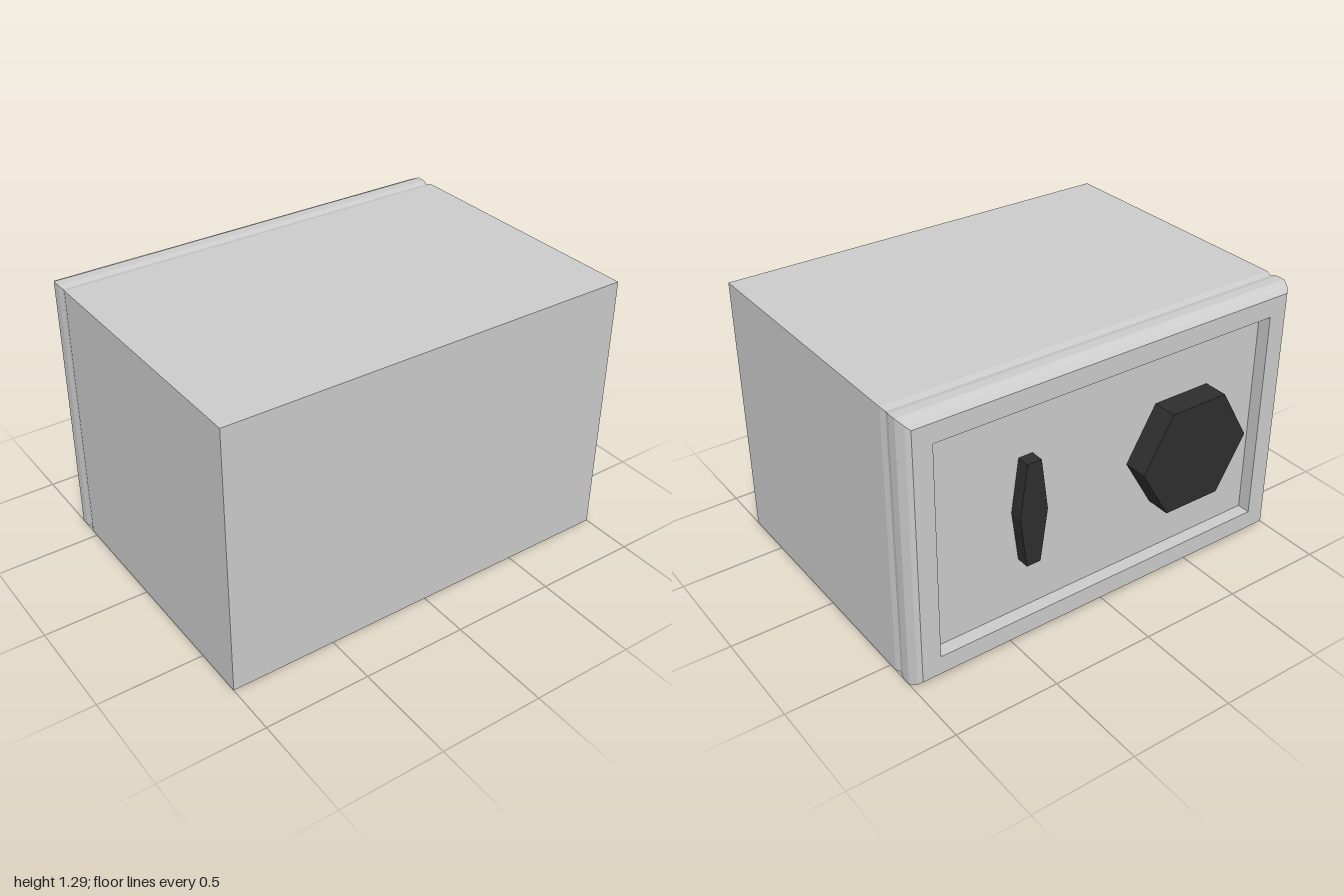
import * as THREE from 'three';

const W = 2, H = 1.295;
const grey = new THREE.MeshStandardMaterial({ color: 0xcccccc, flatShading: true });
const black = new THREE.MeshStandardMaterial({ color: 0x2e2e2e, flatShading: true });

// Joins rectangular rings [z, inset], listed from +z to -z, with optional end caps.
function loftRects(rings, capFront, capBack) {
  const pos = [];
  const tri = (...pts) => pts.forEach((p) => pos.push(...p));
  const corners = rings.map(([z, inset]) => {
    const x = W / 2 - inset, lo = inset, hi = H - inset;
    return [[-x, lo, z], [x, lo, z], [x, hi, z], [-x, hi, z]];
  });
  for (let r = 0; r < corners.length - 1; r++) {
    const a = corners[r], b = corners[r + 1];
    for (let i = 0; i < 4; i++) {
      const j = (i + 1) % 4;
      tri(b[i], b[j], a[j], b[i], a[j], a[i]);
    }
  }
  if (capFront) {
    const c = corners[0];
    tri(c[0], c[1], c[2], c[0], c[2], c[3]);
  }
  if (capBack) {
    const c = corners[corners.length - 1];
    tri(c[0], c[2], c[1], c[0], c[3], c[2]);
  }
  const geo = new THREE.BufferGeometry();
  geo.setAttribute('position', new THREE.Float32BufferAttribute(pos, 3));
  geo.computeVertexNormals();
  return geo;
}

// Six-sided prism along z with corners pointing to both sides.
function hexPrism(rx, ry, zBack, zFront) {
  const depth = zBack - zFront;
  const geo = new THREE.CylinderGeometry(1, 1, depth, 6, 1, false, Math.PI / 6);
  geo.rotateX(-Math.PI / 2);
  geo.scale(rx, ry, 1);
  geo.translate(0, H / 2, zFront + depth / 2);
  return geo;
}

export function createModel() {
  const group = new THREE.Group();
  const add = (name, geo, mat, x = 0) => {
    const mesh = new THREE.Mesh(geo, mat);
    mesh.name = name;
    mesh.position.x = x;
    group.add(mesh);
  };

  // Box body, narrowing slightly into the groove
  add('body', loftRects([[0.75, 0], [-0.54, 0], [-0.57, 0.008]], true, false), grey);

  // Door with bevelled rim and a recessed panel
  add('door', loftRects([
    [-0.57, 0.008], [-0.6, 0], [-0.645, 0], [-0.685, 0.018], [-0.702, 0.035],
    [-0.702, 0.126], [-0.637, 0.126],
  ], false, true), grey);

  // Dial and slim handle standing on the recessed panel
  add('dial', hexPrism(0.295, 0.295, -0.637, -0.753), black, -0.438);
  add('handle', hexPrism(0.07, 0.295, -0.637, -0.699), black, 0.4);

  return group;
}
